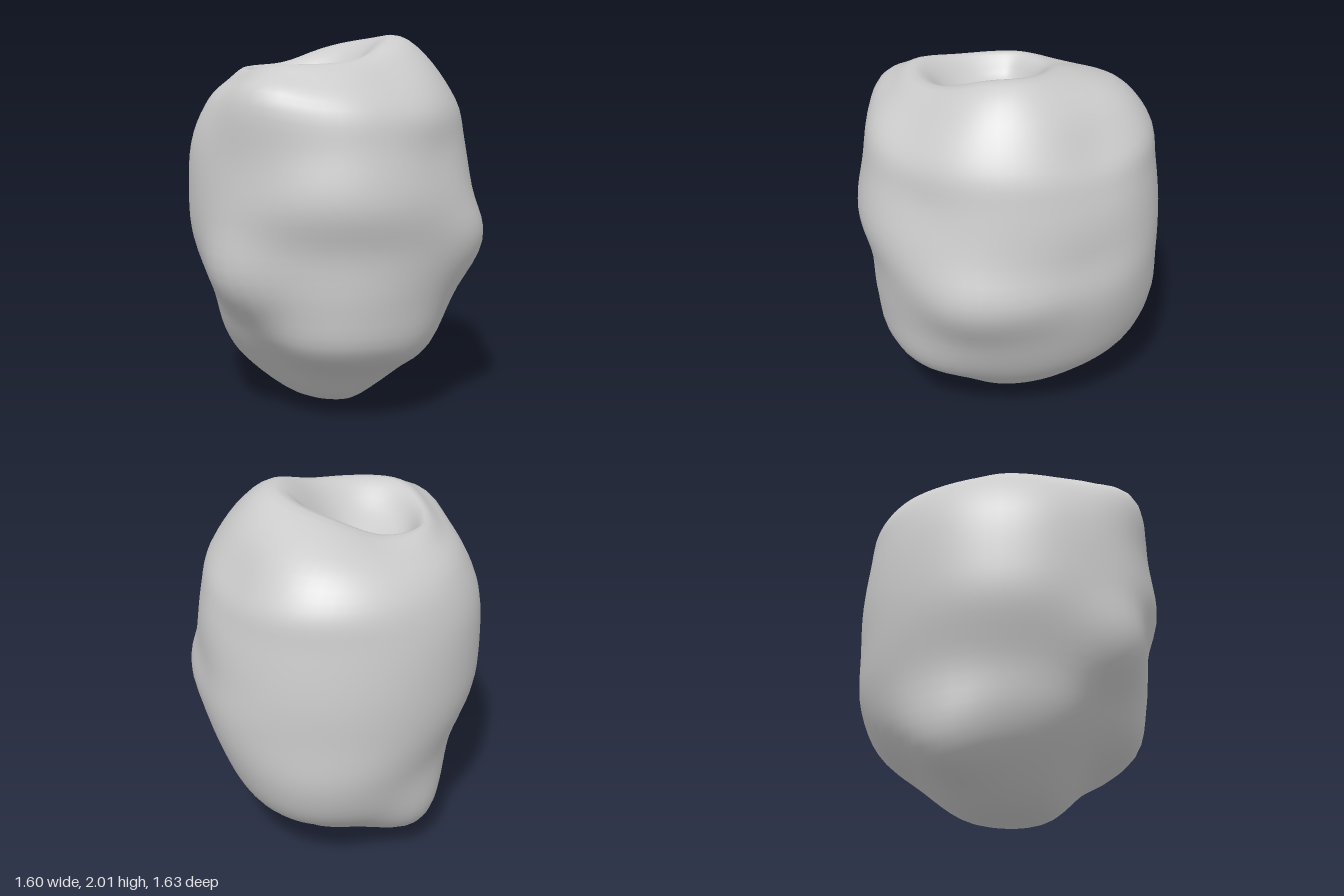
import * as THREE from 'three';
import { mergeVertices } from 'three/addons/utils/BufferGeometryUtils.js';

const U = 60, STEPS = 60;

// Cross-sections, bottom to top: centre x, height, tilt, then reach towards +x, +z, -x, -z
const sections = [
  // Body
  [0.05, 0, 0, 0, 0, 0, 0],
  [0, 0.04, 0, 0.16, 0.22, 0.23, 0.26],
  [0, 0.22, 0, 0.39, 0.42, 0.48, 0.5],
  [0, 0.4, 0, 0.54, 0.67, 0.61, 0.71],
  [0, 0.65, 0, 0.66, 0.73, 0.68, 0.81],
  [0, 0.93, 0, 0.78, 0.75, 0.78, 0.82],
  [0, 1.18, 0, 0.74, 0.81, 0.8, 0.82],
  [0, 1.45, 0, 0.7, 0.77, 0.78, 0.79],
  [0, 1.66, 0, 0.65, 0.73, 0.69, 0.75],
  // Shoulder and rim
  [-0.05, 1.82, 0.055, 0.54, 0.61, 0.53, 0.58],
  [-0.15, 1.9, 0.07, 0.43, 0.47, 0.33, 0.28],
  // Hollow
  [-0.15, 1.77, 0.05, 0.23, 0.29, 0.24, 0.14],
  [-0.16, 1.67, 0, 0.1, 0.1, 0.1, 0.08],
  [-0.16, 1.65, 0, 0, 0, 0, 0],
];

// Lumps and dents: x, y, z and height
const lumps = [
  [-0.5, 0.25, -0.36, 0.13],
  [-0.53, 0.8, 0.53, 0.1],
  [-0.45, 0.38, 0.48, -0.06],
  [0.45, 0.42, 0.48, 0.04],
  [-0.42, 1.72, 0.62, 0.1],
  [0.74, 0.93, 0.28, 0.04],
  [0.66, 1, -0.36, -0.04],
  [0.5, 1.45, 0.45, -0.04],
  [0.28, 1.75, 0.5, -0.05],
  [0.46, 1.72, -0.44, -0.06],
  [-0.3, 1.92, -0.28, -0.06],
  [0.3, 1.98, 0.06, 0.05],
];

// Point on a section: four quarter-ellipses, tilted up towards the back of the +x side
function sectionPoint([cx, y, tilt, right, front, left, back], a) {
  const c = Math.cos(a), s = Math.sin(a);
  return new THREE.Vector3(
    cx + c * (c > 0 ? right : left),
    y + tilt * Math.cos(a + Math.PI / 6),
    s * (s > 0 ? front : back),
  );
}

// Push a point away from the middle by each nearby lump
function addLumps(p) {
  const out = p.clone().setY(p.y - 1).normalize();
  const push = lumps.reduce((sum, [x, y, z, h]) =>
    sum + h * Math.exp(-p.distanceToSquared(new THREE.Vector3(x, y, z)) / 0.06), 0);
  return p.addScaledVector(out, push);
}

function bodyGeometry() {
  const pos = [], index = [], row = STEPS + 1;
  for (let i = 0; i < U; i++) {
    const a = (i / U) * Math.PI * 2;
    const meridian = new THREE.CatmullRomCurve3(sections.map((s) => sectionPoint(s, a)), false, 'catmullrom');
    meridian.getPoints(STEPS).forEach((p) => pos.push(...addLumps(p).toArray()));
    for (let j = 0; j < STEPS; j++) {
      const p = i * row + j, q = ((i + 1) % U) * row + j;
      index.push(p, p + 1, q, q, p + 1, q + 1);
    }
  }
  const g = new THREE.BufferGeometry();
  g.setAttribute('position', new THREE.Float32BufferAttribute(pos, 3));
  g.setIndex(index);
  const merged = mergeVertices(g, 1e-5);
  merged.computeVertexNormals();
  return merged;
}

export function createModel() {
  const body = new THREE.Mesh(bodyGeometry(), new THREE.MeshStandardMaterial({ color: 0xcccccc }));
  body.name = 'lumpyBody';
  const group = new THREE.Group();
  group.name = 'hollowToppedRock';
  group.add(body);
  return group;
}
